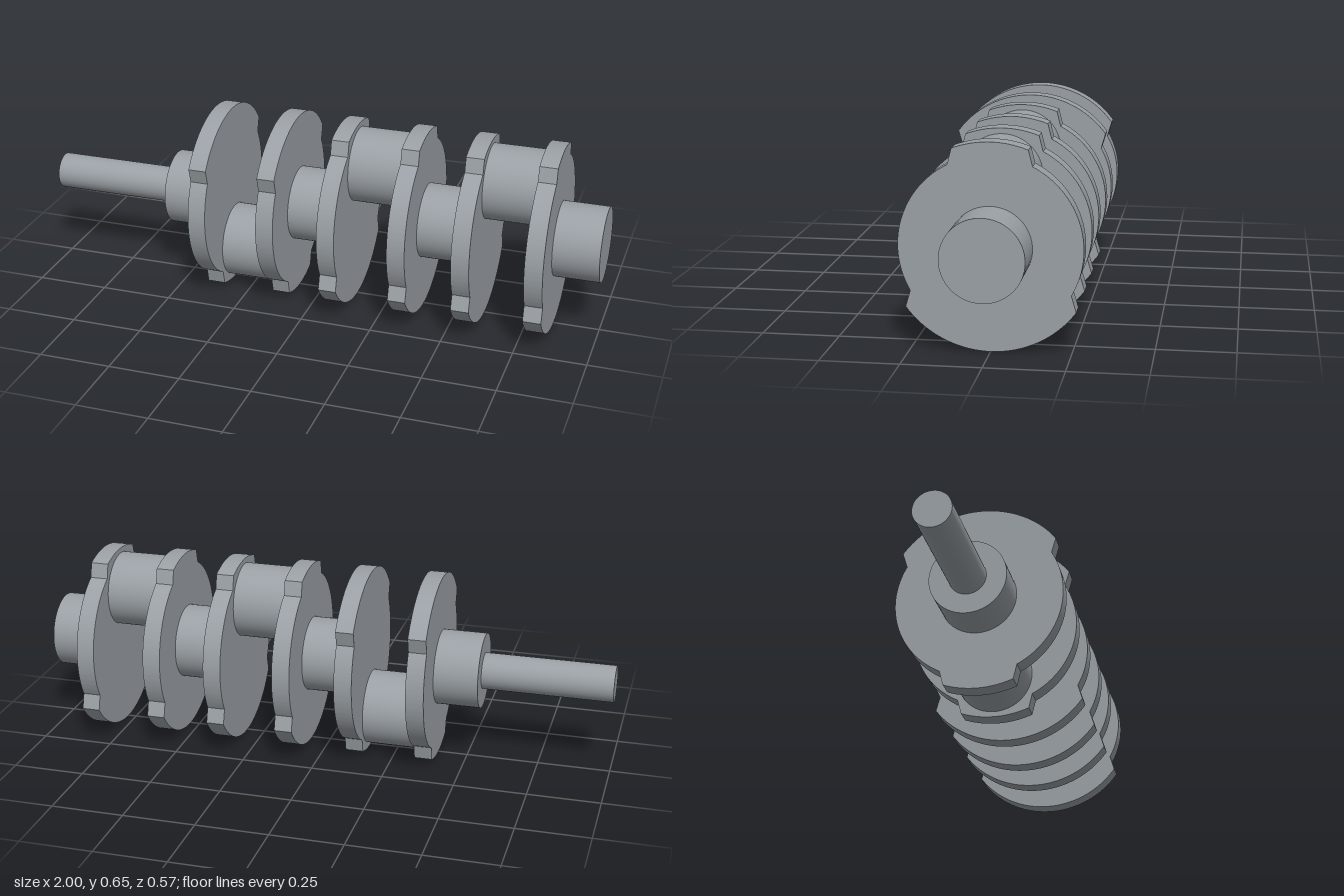
import * as THREE from 'three';
import { toCreasedNormals } from 'three/addons/utils/BufferGeometryUtils.js';

const AXIS_Y = 0.328;      // height of the main axis
const THROW = 0.179;       // offset of the crank pins
const JOURNAL_R = 0.13;
const WEB_T = 0.062;

// Web outline: wide counterweight below, narrow lobe above, notched flanks
function webGeometry() {
  const outer = 0.327, flank = 0.286;
  const arcs = [
    [outer, 216.2, 323.8],
    [flank, -29.6, 63],
    [outer, 69, 111],
    [flank, 117, 209.6],
  ];
  const shape = new THREE.Shape();
  for (const [r, a, b] of arcs) {
    shape.absarc(0, 0, r, THREE.MathUtils.degToRad(a), THREE.MathUtils.degToRad(b), false);
  }
  shape.closePath();
  const geo = new THREE.ExtrudeGeometry(shape, { depth: WEB_T, bevelEnabled: false, curveSegments: 32 });
  geo.translate(0, 0, -WEB_T / 2).rotateY(Math.PI / 2);
  return toCreasedNormals(geo, 0.3);
}

export function createModel() {
  const model = new THREE.Group();
  model.name = 'crankshaft';
  const steel = new THREE.MeshStandardMaterial({ color: 0x9aa0a5 });
  steel.name = 'steel grey';

  // Cylinder lying along x between two stations
  function bar(name, x0, x1, y, r) {
    const geo = new THREE.CylinderGeometry(r, r, x1 - x0, 64).rotateZ(-Math.PI / 2);
    const mesh = new THREE.Mesh(geo, steel);
    mesh.name = name;
    mesh.position.set((x0 + x1) / 2, y, 0);
    model.add(mesh);
  }

  // Input shaft and main journals
  bar('inputShaft', -1, -0.55, AXIS_Y, 0.063);
  [[-0.55, -0.397], [-0.088, 0.068], [0.376, 0.534], [0.841, 1]].forEach(([a, b], i) =>
    bar('mainJournal' + (i + 1), a, b, AXIS_Y, JOURNAL_R));

  // Each throw: a pin between two webs; the first points down, the others up
  const web = webGeometry();
  const throws = [
    { x0: -0.366, x1: -0.119, dir: -1 },
    { x0: 0.099, x1: 0.345, dir: 1 },
    { x0: 0.565, x1: 0.81, dir: 1 },
  ];
  throws.forEach(({ x0, x1, dir }, i) => {
    bar('crankPin' + (i + 1), x0 + WEB_T / 2, x1 - WEB_T / 2, AXIS_Y + dir * THROW, JOURNAL_R);
    [x0, x1].forEach((x, j) => {
      const mesh = new THREE.Mesh(web, steel);
      mesh.name = 'web' + (i * 2 + j + 1);
      mesh.position.set(x, AXIS_Y, 0);
      if (dir < 0) mesh.rotation.x = Math.PI;
      model.add(mesh);
    });
  });

  return model;
}
